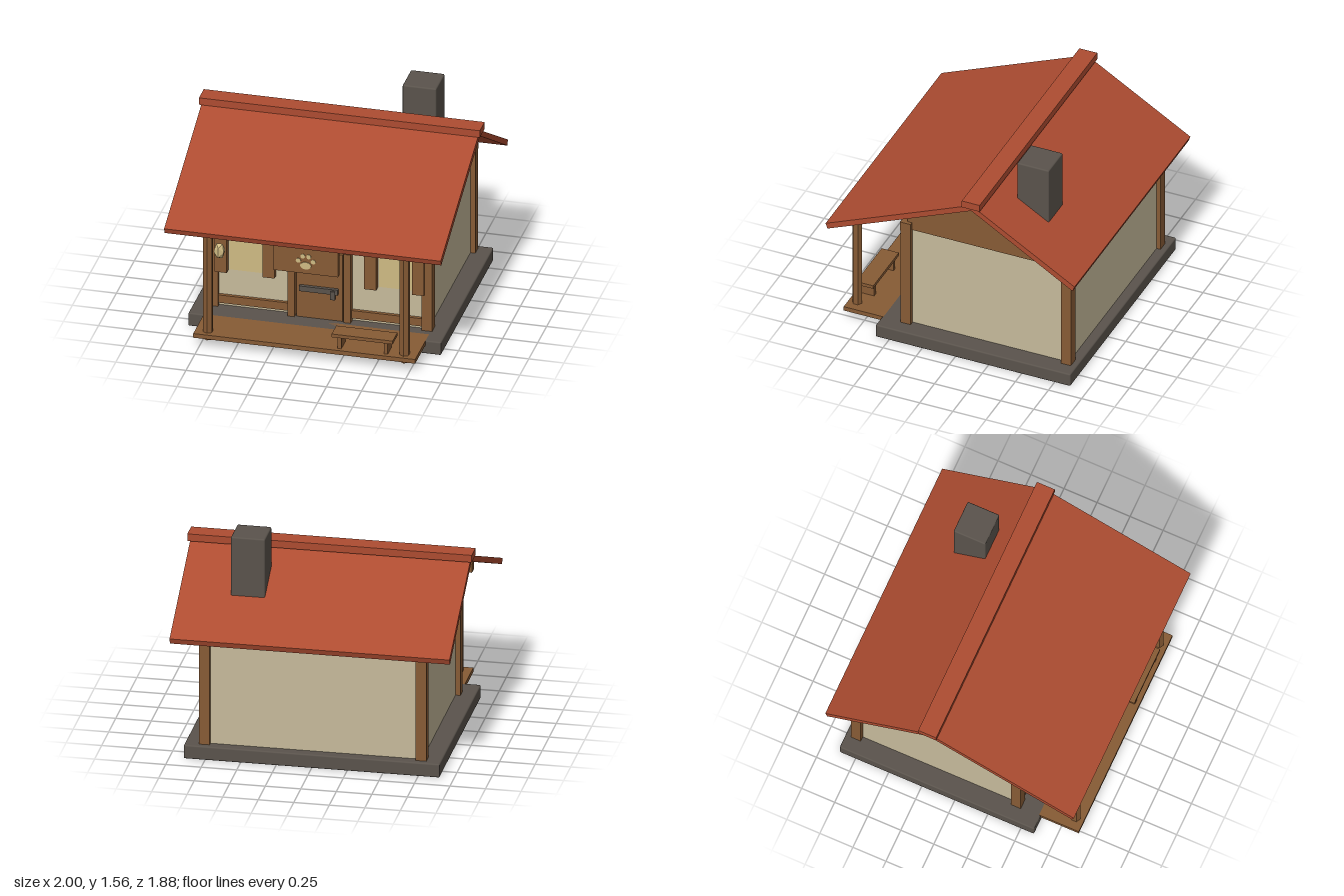
import * as THREE from 'three';
import { RoundedBoxGeometry } from 'three/addons/geometries/RoundedBoxGeometry.js';

const mat = (name, color) => Object.assign(new THREE.MeshStandardMaterial({ color }), { name });

export function createModel() {
  const house = new THREE.Group();
  house.name = 'cottage';
  const tile = mat('red roof tile', 0xad4c31);
  const wood = mat('brown wood', 0x875b35);
  const plaster = mat('cream plaster', 0xc6ba9b);
  const stone = mat('dark stone', 0x5a534c);
  const glow = mat('warm yellow', 0xcfba83);

  const add = (name, geometry, material, x = 0, y = 0, z = 0) => {
    const mesh = new THREE.Mesh(geometry, material);
    mesh.name = name;
    mesh.position.set(x, y, z);
    house.add(mesh);
    return mesh;
  };
  // Box given by its limits on each axis
  const box = (name, material, [x0, x1], [y0, y1], [z0, z1], round = 0) => {
    const size = [x1 - x0, y1 - y0, z1 - z0];
    const geometry = round ? new RoundedBoxGeometry(...size, 2, round) : new THREE.BoxGeometry(...size);
    return add(name, geometry, material, (x0 + x1) / 2, (y0 + y1) / 2, (z0 + z1) / 2);
  };
  // Cross-section of [z, y] points swept along x
  const prism = (name, material, points, halfWidth) => {
    const shape = new THREE.Shape(points.map(([z, y]) => new THREE.Vector2(-z, y)));
    const geometry = new THREE.ExtrudeGeometry(shape, { depth: 2 * halfWidth, bevelEnabled: false });
    geometry.translate(0, 0, -halfWidth).rotateY(Math.PI / 2);
    return add(name, geometry, material);
  };

  // Base, walls and gable block
  box('foundation', stone, [-0.9, 0.9], [0, 0.1], [-0.87, 0.6], 0.01);
  box('walls', plaster, [-0.765, 0.765], [0.1, 0.885], [-0.8, 0.42]);
  prism('gable', wood, [[0.415, 0.885], [0.415, 1.085], [-0.16, 1.32], [-0.81, 0.94], [-0.81, 0.885]], 0.775);

  // Timber frame
  for (const s of [-1, 1]) {
    for (const [z0, z1] of [[0.38, 0.455], [-0.83, -0.755]]) {
      box('cornerPost', wood, s < 0 ? [-0.8, -0.725] : [0.725, 0.8], [0.1, 0.885], [z0, z1]);
    }
    box('sillRail', wood, s < 0 ? [-0.73, -0.2] : [0.2, 0.73], [0.125, 0.185], [0.4, 0.445]);
  }
  box('frontPlate', wood, [-0.8, 0.8], [0.875, 0.945], [0.38, 0.46]);
  box('backPlate', wood, [-0.8, 0.8], [0.875, 0.945], [-0.84, -0.755]);

  // Roof slopes, ridge and chimney
  prism('frontRoof', tile, [[0.94, 0.915], [0.925, 0.875], [-0.16, 1.335], [-0.16, 1.38]], 0.985);
  prism('backRoof', tile, [[-0.16, 1.38], [-0.16, 1.335], [-0.925, 0.875], [-0.94, 0.915]], 0.985);
  box('ridgeCap', tile, [-1, 1], [1.357, 1.41], [-0.23, -0.095]);
  box('chimney', stone, [0.385, 0.625], [1.0, 1.56], [-0.585, -0.345], 0.01);

  // Porch deck, hexagonal posts and beam
  box('porchDeck', wood, [-0.79, 0.79], [0.068, 0.1], [0.5, 0.89]);
  box('porchBeam', wood, [-0.8, 0.8], [0.85, 0.915], [0.79, 0.865]);
  for (const s of [-1, 1]) {
    const post = new THREE.CylinderGeometry(0.036, 0.036, 0.81, 6).toNonIndexed();
    post.computeVertexNormals();
    add('porchPost', post, wood, s * 0.7, 0.45, 0.827);
  }

  // Door, its frame and latch
  box('door', wood, [-0.165, 0.165], [0.1, 0.615], [0.42, 0.46]);
  for (const x of [-0.2, 0.2]) box('doorJamb', wood, [x - 0.025, x + 0.025], [0.1, 0.63], [0.41, 0.475]);
  box('doorLintel', wood, [-0.235, 0.235], [0.635, 0.7], [0.41, 0.475]);
  box('doorBar', stone, [-0.14, 0.135], [0.31, 0.35], [0.46, 0.485]);
  box('doorLatch', stone, [0.085, 0.118], [0.275, 0.34], [0.475, 0.497]);

  // Windows with shutters
  for (const s of [-1, 1]) {
    const x = s * 0.532;
    box('window', glow, [x - 0.117, x + 0.117], [0.385, 0.63], [0.419, 0.428]);
    for (const d of [-0.17, 0.17]) {
      box('shutter', wood, [x + d - 0.043, x + d + 0.043], [0.375, 0.645], [0.42, 0.468]);
    }
  }

  // Hanging board with a paw emblem
  box('signBoard', wood, [-0.235, 0.23], [0.645, 0.85], [0.805, 0.845]);
  const pads = [[0, 0.707, 0.04, 0.028], [-0.053, 0.742, 0.018, 0.017], [0.053, 0.742, 0.018, 0.017],
    [-0.021, 0.778, 0.016, 0.018], [0.021, 0.778, 0.016, 0.018]];
  for (const [x, y, rx, ry] of pads) {
    const pad = new THREE.CylinderGeometry(1, 1, 0.006, 12).rotateX(Math.PI / 2);
    add('pawPad', pad.scale(rx, ry, 1), glow, x, y, 0.847);
  }

  // Faceted lantern
  add('lantern', new THREE.IcosahedronGeometry(0.042).scale(1, 1.55, 1), glow, -0.63, 0.712, 0.785);

  // Bench
  box('benchSeat', wood, [0.19, 0.625], [0.187, 0.212], [0.74, 0.87]);
  for (const x of [0.243, 0.573]) box('benchLeg', wood, [x - 0.014, x + 0.014], [0.068, 0.19], [0.75, 0.86]);

  return house;
}
